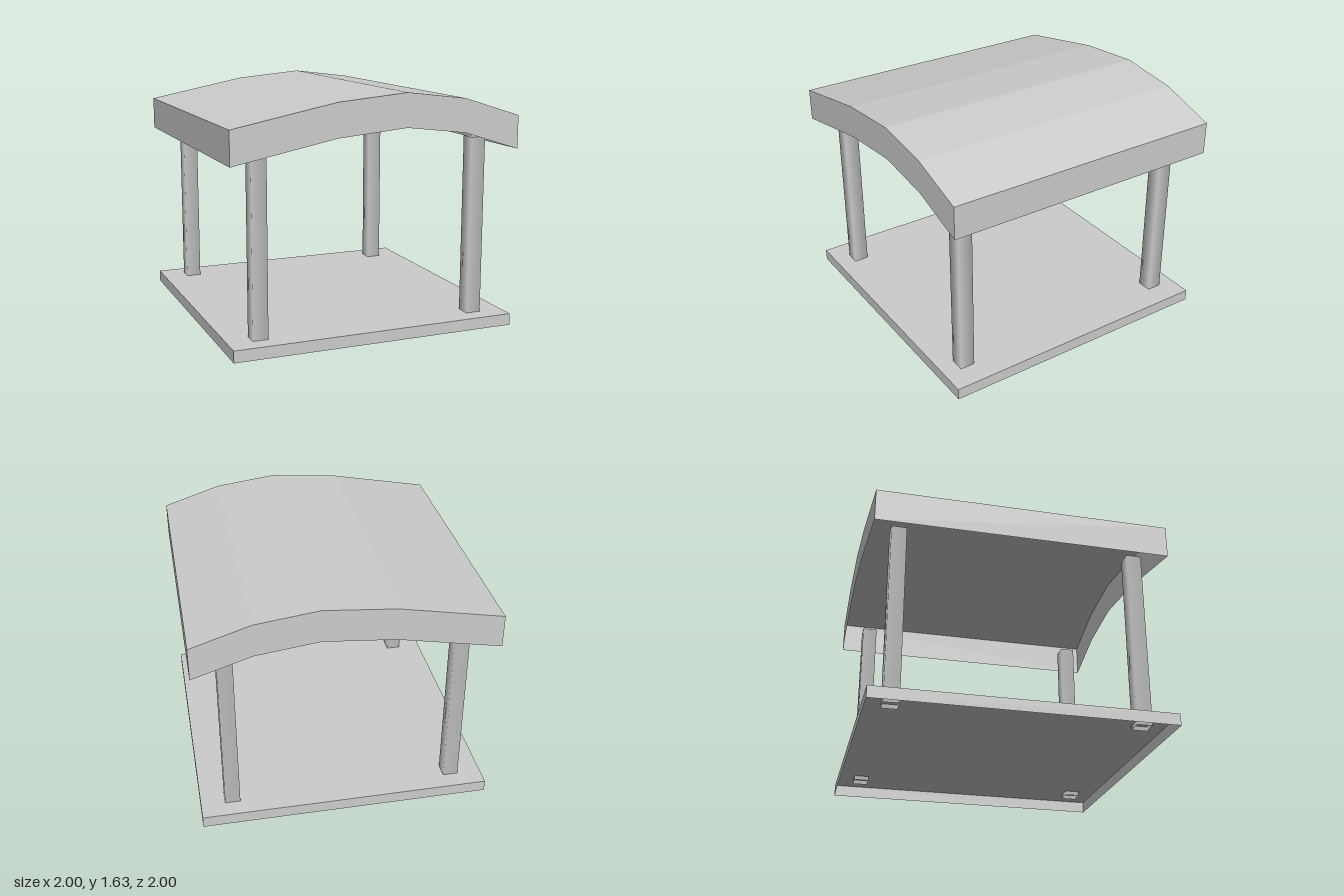
import * as THREE from 'three';

// Shell open underneath: a top that follows a profile, with a skirt of constant drop on all four sides
function shellGeometry(profile, drop, halfDepth) {
  const pos = [];
  const quad = (a, b, c, d) => pos.push(...a, ...b, ...c, ...a, ...c, ...d);
  const at = ([x, y], z, down = 0) => [x, y - down, z];
  const f = halfDepth, k = -halfDepth;
  for (let i = 0; i < profile.length - 1; i++) {
    const p = profile[i], q = profile[i + 1];
    quad(at(p, f), at(q, f), at(q, k), at(p, k));
    quad(at(p, f, drop), at(q, f, drop), at(q, f), at(p, f));
    quad(at(q, k, drop), at(p, k, drop), at(p, k), at(q, k));
  }
  const l = profile[0], r = profile[profile.length - 1];
  quad(at(r, f, drop), at(r, k, drop), at(r, k), at(r, f));
  quad(at(l, k, drop), at(l, f, drop), at(l, f), at(l, k));
  const geometry = new THREE.BufferGeometry();
  geometry.setAttribute('position', new THREE.Float32BufferAttribute(pos, 3));
  geometry.computeVertexNormals();
  return geometry;
}

export function createModel() {
  const model = new THREE.Group();
  model.name = 'shelter';
  const grey = new THREE.MeshStandardMaterial({ color: 0xcccccc, side: THREE.DoubleSide });
  grey.name = 'light grey';

  const add = (name, geometry, x = 0, y = 0, z = 0) => {
    const mesh = new THREE.Mesh(geometry, grey);
    mesh.name = name;
    mesh.position.set(x, y, z);
    model.add(mesh);
    return mesh;
  };

  // Floor slab, hollow underneath
  add('floor', shellGeometry([[-0.993, 0.08], [0.993, 0.08]], 0.08, 0.993), -0.002, 0, 0.004);

  // Arched roof, hollow underneath
  const arch = [[-1, 1.455], [-0.3, 1.592], [0.18, 1.635], [0.6, 1.582], [1, 1.455]];
  add('roof', shellGeometry(arch, 0.225, 1));

  // Four square posts with soft shading, open at the foot and capped on top
  const bottom = 0.05, top = 1.305, width = 0.104;
  const post = new THREE.CylinderGeometry(width / Math.SQRT2, width / Math.SQRT2, top - bottom, 4, 1, true, Math.PI / 4);
  const cap = new THREE.PlaneGeometry(width, width).rotateX(-Math.PI / 2);
  for (const x of [-0.777, 0.773]) {
    for (const z of [-0.817, 0.822]) {
      const name = (z > 0 ? 'front' : 'back') + (x > 0 ? 'Left' : 'Right') + 'Post';
      add(name, post, x, (top + bottom) / 2, z);
      add(name + 'Cap', cap, x, top, z);
    }
  }
  return model;
}
